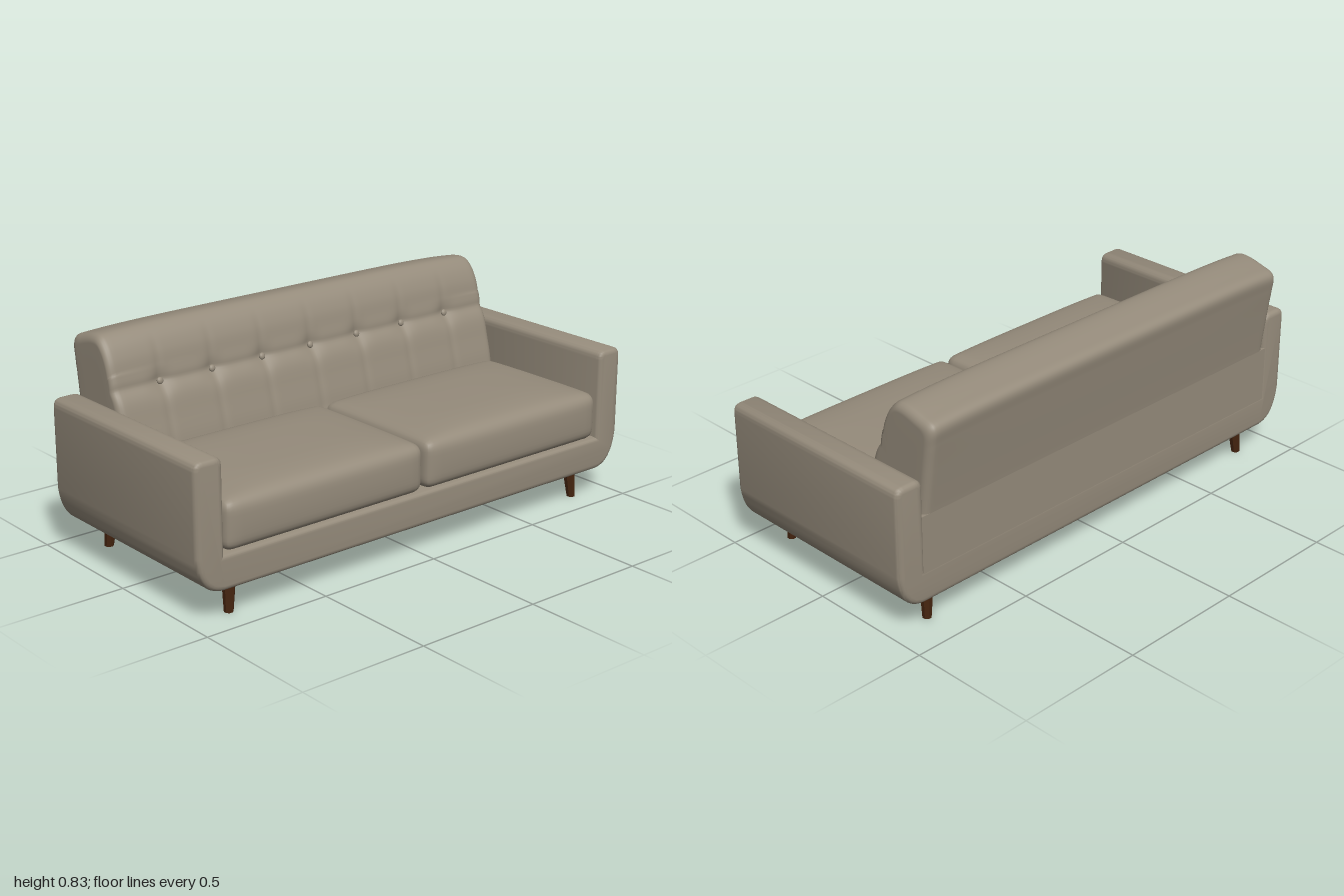
import * as THREE from 'three';
import { mergeVertices, toCreasedNormals } from 'three/addons/utils/BufferGeometryUtils.js';

const BUTTON_GAP = 0.2267, BUTTON_Y = 0.64, HALF_BACK = 0.885;

// Weld a geometry and give it smooth normals
function smooth(geo) {
  geo.deleteAttribute('uv');
  geo.deleteAttribute('normal');
  const welded = mergeVertices(geo, 1e-5);
  welded.computeVertexNormals();
  return welded;
}

// Rounded box with a domed top and slightly swollen front
function cushionGeometry(w, h, d, r, dome, swell) {
  const geo = new THREE.BoxGeometry(2, 2, 2, 22, 16, 22);
  const pos = geo.attributes.position;
  const half = new THREE.Vector3(w / 2, h / 2, d / 2);
  const inner = half.clone().subScalar(r), p = new THREE.Vector3(), c = new THREE.Vector3();
  for (let i = 0; i < pos.count; i++) {
    p.fromBufferAttribute(pos, i);
    for (const k of ['x', 'y', 'z']) p[k] = Math.sin(p[k] * Math.PI / 2) * half[k];
    c.copy(p).clamp(inner.clone().negate(), inner);
    p.sub(c).setLength(r).add(c);
    const u = p.x / half.x, v = p.y / half.y, s = p.z / half.z;
    if (v > 0) p.y += dome * v * (1 - u ** 4) * (1 - s ** 4);
    if (s > 0) p.z += swell * s ** 4 * (1 - u ** 8) * (1 - v * v);
    pos.setXYZ(i, p.x, p.y, p.z);
  }
  return smooth(geo);
}

// One-piece U of arms and base, extruded front to back
function frameGeometry() {
  const s = new THREE.Shape();
  const o = 1, i = 0.885, bottom = 0.113, seat = 0.245, top = 0.59, R = 0.11, r = 0.035;
  s.moveTo(-o + R, bottom);
  s.lineTo(o - R, bottom);
  s.quadraticCurveTo(o - 0.015, bottom + 0.005, o, bottom + R + 0.03);
  s.lineTo(o, top - r);
  s.quadraticCurveTo(o, top, o - r, top);
  s.lineTo(i + r, top);
  s.quadraticCurveTo(i, top, i, top - r);
  s.lineTo(i, seat);
  s.lineTo(-i, seat);
  s.lineTo(-i, top - r);
  s.quadraticCurveTo(-i, top, -i - r, top);
  s.lineTo(-o + r, top);
  s.quadraticCurveTo(-o, top, -o, top - r);
  s.lineTo(-o, bottom + R + 0.03);
  s.quadraticCurveTo(-o + 0.015, bottom + 0.005, -o + R, bottom);
  const b = 0.02;
  const geo = new THREE.ExtrudeGeometry(s, {
    depth: 0.867 - 2 * b, bevelThickness: b, bevelSize: b, bevelOffset: -b,
    bevelSegments: 4, curveSegments: 10,
  });
  geo.translate(0, 0, -0.415 + b);
  return toCreasedNormals(geo, 0.6);
}

// Backrest: a side profile swept along x, with rounded ends and tufting
function backrestGeometry() {
  const profile = [
    [-0.11, 0.3], [-0.122, 0.43], [-0.145, 0.52], [-0.165, 0.59], [-0.19, 0.64], [-0.205, 0.69],
    [-0.222, 0.75], [-0.25, 0.8], [-0.283, 0.829], [-0.32, 0.833], [-0.4, 0.815], [-0.443, 0.8],
    [-0.456, 0.78], [-0.45, 0.72], [-0.414, 0.45], [-0.4, 0.32], [-0.37, 0.28], [-0.15, 0.28],
  ].map(([z, y]) => new THREE.Vector3(0, y, z));
  const ring = new THREE.CatmullRomCurve3(profile, true, 'centripetal').getPoints(110).slice(0, -1);

  // Stations: [x, inset, scale]; scale closes the end caps
  const R = 0.03, ends = [[HALF_BACK, R, 0], [HALF_BACK, R, 0.6]];
  for (let k = 0; k <= 5; k++) {
    const a = k / 5 * Math.PI / 2;
    ends.push([HALF_BACK - R * (1 - Math.cos(a)), R * (1 - Math.sin(a)), 1]);
  }
  const stations = ends.map(([x, e, s]) => [-x, e, s]);
  for (let k = -74; k <= 74; k++) stations.push([k * BUTTON_GAP / 20, 0, 1]);
  stations.push(...ends.reverse());

  const verts = [], index = [], n = ring.length, cy = 0.56, cz = -0.29;
  stations.forEach(([x, e, s], i) => {
    const near = THREE.MathUtils.clamp(Math.round(x / BUTTON_GAP), -3, 3) * BUTTON_GAP;
    const dx = x - near;
    ring.forEach((p, j) => {
      let y = cy + (p.y - cy) * (1 - e / 0.27) * s;
      let z = cz + (p.z - cz) * (1 - e / 0.14) * s;
      if (p.z > -0.3 && p.y > 0.4 && s === 1) {
        const fade = THREE.MathUtils.smoothstep(0.82 - p.y, 0, 0.12);
        const dy = p.y - BUTTON_Y;
        z -= fade * 0.004 * Math.exp(-((dx / 0.014) ** 2));
        z -= 0.012 * Math.exp(-(dx * dx + dy * dy) / 0.0016);
        z -= 0.005 * Math.exp(-((dy / 0.015) ** 2));
      }
      if (p.y > 0.7) y -= 0.012 * Math.abs(x / HALF_BACK) ** 6 * s;
      verts.push(x, y, z);
      if (i + 1 < stations.length) {
        const a = i * n + j, b = i * n + (j + 1) % n;
        index.push(a, a + n, b + n, a, b + n, b);
      }
    });
  });
  const geo = new THREE.BufferGeometry();
  geo.setAttribute('position', new THREE.Float32BufferAttribute(verts, 3));
  geo.setIndex(index);
  return smooth(geo);
}

// Tapered eight-sided leg whose foot leans by (lx, lz)
function legGeometry(rTop, rFoot, height, lx, lz) {
  const geo = new THREE.CylinderGeometry(rTop, rFoot, height, 8).rotateY(Math.PI / 8);
  geo.translate(0, height / 2, 0);
  const pos = geo.attributes.position;
  for (let i = 0; i < pos.count; i++) {
    const t = 1 - pos.getY(i) / height;
    pos.setX(i, pos.getX(i) + lx * t);
    pos.setZ(i, pos.getZ(i) + lz * t);
  }
  return toCreasedNormals(geo, 0.5);
}

export function createModel() {
  const model = new THREE.Group();
  model.name = 'sofa';
  const fabric = new THREE.MeshStandardMaterial({ color: 0x958b7b });
  fabric.name = 'taupe fabric';
  const wood = new THREE.MeshStandardMaterial({ color: 0x45240f });
  wood.name = 'dark wood';

  const add = (name, geo, mat, x = 0, y = 0, z = 0) => {
    const mesh = new THREE.Mesh(geo, mat);
    mesh.name = name;
    mesh.position.set(x, y, z);
    model.add(mesh);
    return mesh;
  };

  // Upholstered body
  add('armsAndBase', frameGeometry(), fabric);
  add('backPanel', new THREE.BoxGeometry(1.79, 0.315, 0.1), fabric, 0, 0.2925, -0.364);
  add('backrest', backrestGeometry(), fabric);

  // Seat cushions
  const cushion = cushionGeometry(0.876, 0.185, 0.595, 0.04, 0.024, 0.008);
  add('leftSeatCushion', cushion, fabric, 0.443, 0.3345, 0.155);
  add('rightSeatCushion', cushion, fabric, -0.443, 0.3345, 0.155);

  // Tufting buttons
  const button = new THREE.SphereGeometry(0.013, 14, 10).scale(1, 1, 0.6);
  for (let k = -3; k <= 3; k++) {
    add('button', button, fabric, k * BUTTON_GAP, BUTTON_Y, -0.203).rotation.x = -0.3;
  }

  // Corner legs and centre support
  for (const side of [1, -1]) {
    const x = side * 0.818;
    add('frontLeg', legGeometry(0.026, 0.017, 0.125, side * 0.01, 0.01), wood, x, 0, 0.374);
    add('rearLeg', legGeometry(0.026, 0.017, 0.125, side * 0.01, -0.01), wood, x, 0, -0.34);
  }
  add('centreLeg', legGeometry(0.025, 0.025, 0.12, 0, 0), wood, 0, 0.004, 0.015);

  return model;
}
